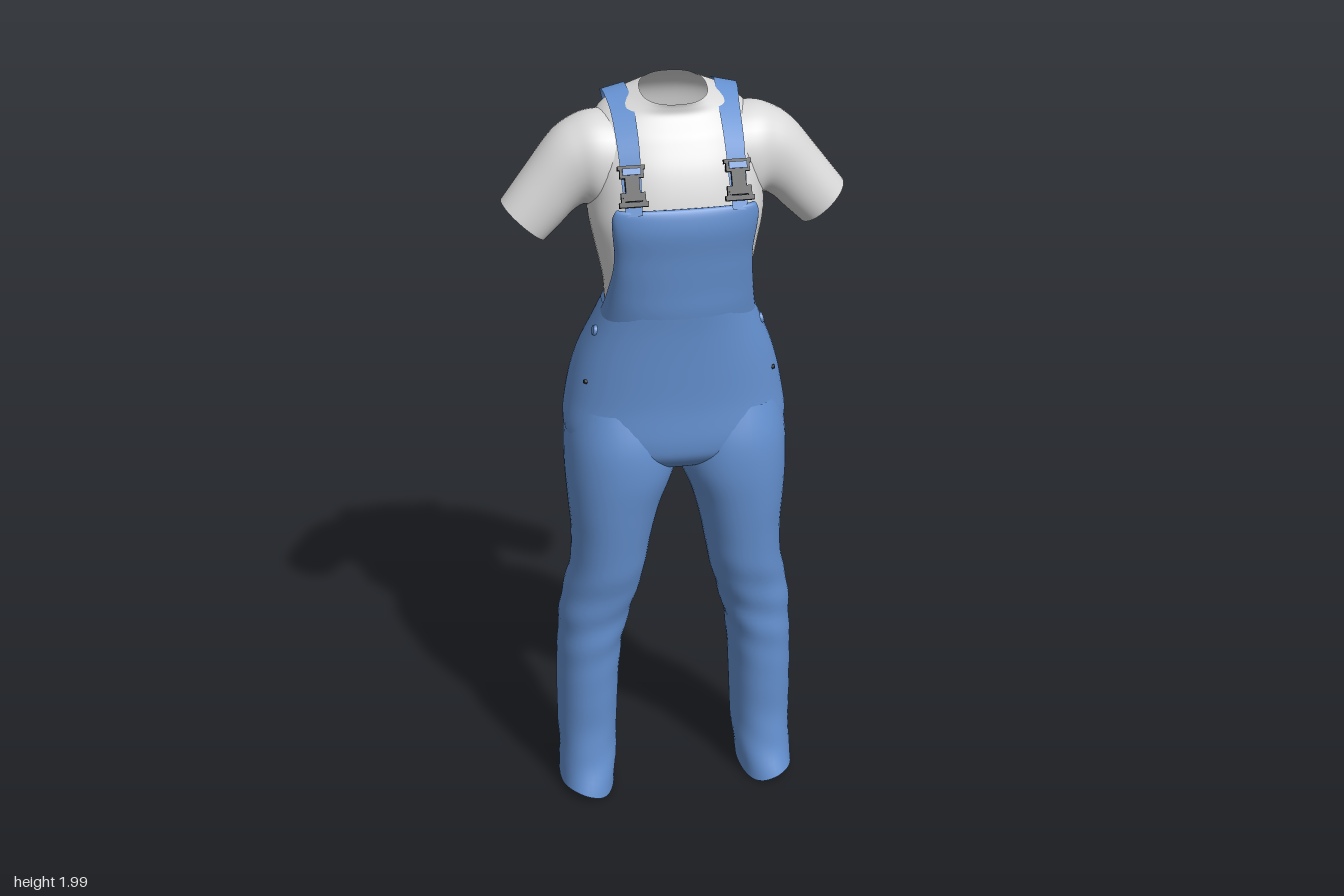
import * as THREE from 'three';

const denim = new THREE.MeshStandardMaterial({ color: 0x6490cf, side: THREE.DoubleSide });
denim.name = 'blue denim';
const cotton = new THREE.MeshStandardMaterial({ color: 0xd9d9d9, side: THREE.DoubleSide });
cotton.name = 'light grey cotton';
const plastic = new THREE.MeshStandardMaterial({ color: 0x222326 });
plastic.name = 'black plastic';

// Smooth value through a table of cross-sections, t in 0..1
function sample(rows, t) {
  const s = t * (rows.length - 1);
  const i = Math.min(Math.floor(s), rows.length - 2), f = s - i;
  const at = (k) => rows[Math.max(0, Math.min(rows.length - 1, k))];
  const [a, b, c, d] = [at(i - 1), at(i), at(i + 1), at(i + 2)];
  return b.map((_, k) => b[k] + 0.5 * f * (c[k] - a[k]
    + f * (2 * a[k] - 5 * b[k] + 4 * c[k] - d[k] + f * (3 * (b[k] - c[k]) + d[k] - a[k]))));
}

// Cross-section at a height; the first column of the table is y
function rowAt(rows, y) {
  let i = 0;
  while (i < rows.length - 2 && (rows[i + 1][0] - y) * (rows[i][0] - y) > 0) i++;
  const f = (y - rows[i][0]) / (rows[i + 1][0] - rows[i][0]);
  return rows[i].map((v, k) => v + f * (rows[i + 1][k] - v));
}

// Smooth sheet or tube from a point rule
function surface(name, material, nu, nv, closed, rule) {
  const pos = [], idx = [], cols = closed ? nu : nu + 1;
  for (let j = 0; j <= nv; j++)
    for (let i = 0; i < cols; i++) pos.push(...rule(i / nu, j / nv));
  for (let j = 0; j < nv; j++)
    for (let i = 0; i < nu; i++) {
      const a = j * cols + i, b = j * cols + (i + 1) % cols;
      idx.push(a, b, a + cols, b, b + cols, a + cols);
    }
  const g = new THREE.BufferGeometry();
  g.setAttribute('position', new THREE.Float32BufferAttribute(pos, 3));
  g.setIndex(idx);
  g.computeVertexNormals();
  const mesh = new THREE.Mesh(g, material);
  mesh.name = name;
  return mesh;
}

const spow = (v, p) => Math.sign(v) * Math.pow(Math.abs(v), p);
// Rounded oval: returns unit [side, front] for u in 0..1
const oval = (u, n) => [spow(Math.sin(u * 2 * Math.PI), 2 / n), spow(Math.cos(u * 2 * Math.PI), 2 / n)];

// y, half width, front z, back z
const SHIRT = [
  [1.38, 0.17, 0.13, -0.08], [1.45, 0.178, 0.14, -0.1], [1.52, 0.184, 0.152, -0.113],
  [1.6, 0.2, 0.163, -0.14], [1.68, 0.215, 0.167, -0.152], [1.75, 0.215, 0.155, -0.158],
  [1.82, 0.213, 0.13, -0.16], [1.88, 0.205, 0.095, -0.155], [1.92, 0.185, 0.07, -0.145],
  [1.95, 0.145, 0.052, -0.12], [1.97, 0.105, 0.05, -0.1], [1.982, 0.082, 0.052, -0.09],
];
const HIPS = [
  [1.455, 0.187, 0.17, -0.112], [1.4, 0.21, 0.165, -0.132], [1.3, 0.25, 0.16, -0.175],
  [1.2, 0.275, 0.157, -0.192], [1.1, 0.284, 0.161, -0.18], [1.05, 0.24, 0.148, -0.15],
  [1.01, 0.11, 0.1, -0.09], [0.995, 0.01, 0.02, -0.02],
];
// y, inner x, outer x, front z, back z
const LEG = [
  [1.18, 0.02, 0.268, 0.135, -0.172], [1.09, 0.0, 0.284, 0.162, -0.18], [1.0, 0.004, 0.287, 0.168, -0.161],
  [0.9, 0.042, 0.282, 0.16, -0.14], [0.8, 0.068, 0.275, 0.148, -0.12], [0.7, 0.086, 0.28, 0.135, -0.105],
  [0.6, 0.11, 0.302, 0.114, -0.115], [0.5, 0.137, 0.312, 0.106, -0.13], [0.4, 0.15, 0.317, 0.1, -0.135],
  [0.3, 0.156, 0.319, 0.095, -0.133], [0.2, 0.16, 0.32, 0.09, -0.13], [0.11, 0.165, 0.318, 0.103, -0.12],
  [0.025, 0.175, 0.322, 0.13, -0.105],
];
// top x, top y, bottom x, bottom y, front z, back z
const SLEEVE = [
  [0.09, 1.92, 0.12, 1.68, 0.085, -0.14], [0.19, 1.932, 0.18, 1.67, 0.085, -0.14],
  [0.25, 1.915, 0.215, 1.7, 0.07, -0.126], [0.3, 1.88, 0.245, 1.69, 0.062, -0.112],
  [0.36, 1.805, 0.28, 1.657, 0.058, -0.097], [0.425, 1.72, 0.32, 1.62, 0.056, -0.082],
];
// y, half width, edge z, middle z
const BIB = [
  [1.41, 0.2, 0.02, 0.163], [1.47, 0.187, 0.06, 0.172], [1.52, 0.179, 0.088, 0.175], [1.57, 0.172, 0.112, 0.179],
  [1.62, 0.17, 0.127, 0.183], [1.68, 0.176, 0.142, 0.19], [1.72, 0.178, 0.15, 0.186],
  [1.742, 0.17, 0.155, 0.177], [1.742, 0.162, 0.145, 0.166],
];
// y, half width
const BACK = [[1.41, 0.185], [1.455, 0.145], [1.485, 0.1], [1.54, 0.072], [1.62, 0.056], [1.69, 0.046]];

function shirtBack(x, y) {
  const [, w, f, b] = rowAt(SHIRT, y);
  return (f + b) / 2 - (f - b) / 2 * Math.pow(1 - Math.pow(Math.min(Math.abs(x) / w, 1), 2.4), 1 / 2.4);
}

function strap() {
  const path = new THREE.CatmullRomCurve3([
    [0.128, 1.735, 0.176], [0.128, 1.8, 0.14], [0.128, 1.88, 0.093], [0.13, 1.95, 0.005], [0.137, 1.973, -0.07],
    [0.134, 1.95, -0.128], [0.112, 1.88, -0.16], [0.07, 1.78, -0.17], [0.026, 1.66, -0.168],
  ].map((p) => new THREE.Vector3(...p)));
  return surface('strap', denim, 4, 48, false, (u, v) => {
    const p = path.getPoint(v);
    const out = p.clone().sub(new THREE.Vector3(p.x * 0.6, 1.74, -0.03));
    const across = path.getTangent(v).cross(out).normalize();
    const half = 0.02 + 0.009 * Math.sin(Math.PI * v);
    return p.addScaledVector(across, (u * 2 - 1) * half).toArray();
  });
}

function buckle() {
  const g = new THREE.Group();
  g.name = 'buckle';
  const bar = (w, h, d, x, y, z = 0, m = plastic) => {
    const b = new THREE.Mesh(new THREE.BoxGeometry(w, h, d), m);
    b.name = 'bucklePart';
    b.position.set(x, y, z);
    g.add(b);
  };
  bar(0.066, 0.01, 0.014, 0, 0.042);
  bar(0.058, 0.01, 0.014, 0, 0.022);
  bar(0.034, 0.05, 0.014, 0, 0);
  bar(0.05, 0.02, 0.014, 0, -0.028);
  bar(0.07, 0.012, 0.014, 0, -0.046);
  for (const s of [-1, 1]) {
    bar(0.009, 0.03, 0.012, s * 0.024, 0.032);
    bar(0.009, 0.03, 0.012, s * 0.025, -0.032);
  }
  bar(0.044, 0.016, 0.006, 0, 0.032, 0.008, denim);
  g.position.set(0.128, 1.803, 0.148);
  g.rotation.x = -0.5;
  return g;
}

// Round stud lying on the hip
function stud(name, material, y, z, r) {
  const [, w, f, b] = rowAt(HIPS, y);
  const k = (z - (f + b) / 2) / ((f - b) / 2);
  const x = w * Math.pow(1 - Math.pow(Math.abs(k), 2.4), 1 / 2.4);
  const m = new THREE.Mesh(new THREE.CylinderGeometry(r * 0.85, r, 0.008, 16), material);
  m.name = name;
  m.position.set(x + 0.002, y, z);
  m.quaternion.setFromUnitVectors(new THREE.Vector3(0, 1, 0), new THREE.Vector3(1, 0.3, 0.35 * k).normalize());
  return m;
}

function createSide() {
  const side = new THREE.Group();
  side.add(surface('sleeve', cotton, 36, 30, true, (u, v) => {
    const [tx, ty, bx, by, f, b] = sample(SLEEVE, v);
    const [s, c] = oval(u, 2.1);
    return [(tx + bx) / 2 + c * (tx - bx) / 2, (ty + by) / 2 + c * (ty - by) / 2, (f + b) / 2 + s * (f - b) / 2];
  }));
  // Trouser leg with soft folds at the knee and a wavy hem
  side.add(surface('trouserLeg', denim, 44, 72, true, (u, v) => {
    const [y, xi, xo, f, b] = sample(LEG, v);
    const [s, c] = oval(u, 2.2);
    const a = u * 2 * Math.PI;
    const knee = Math.exp(-(((y - 0.55) / 0.13) ** 2)), hem = Math.exp(-(((y - 0.08) / 0.1) ** 2));
    const k = 1 + 0.025 * knee * Math.sin(y * 55 + a * 2) + 0.02 * hem * Math.sin(y * 45 + a * 3);
    const wave = Math.max(0, 1 - y / 0.12) * (0.012 * s + 0.008 * Math.sin(3 * a));
    return [(xi + xo) / 2 + s * k * (xo - xi) / 2, y + wave, (f + b) / 2 + c * k * (f - b) / 2];
  }));
  side.add(strap(), buckle());
  side.add(stud('hipButton', denim, 1.39, 0.055, 0.014), stud('pocketRivet', plastic, 1.26, 0.075, 0.006));
  return side;
}

export function createModel() {
  const model = new THREE.Group();
  model.name = 'dungareesAndShirt';

  // Shirt body; the neckline drops towards the front
  model.add(surface('shirtBody', cotton, 56, 60, true, (u, v) => {
    const [y, w, f, b] = sample(SHIRT, v);
    const [s, c] = oval(u, 2.4);
    const z = (f + b) / 2 + c * (f - b) / 2;
    const tilt = THREE.MathUtils.smoothstep(y, 1.88, 1.98) * 0.27;
    return [s * w, y - tilt * (z + 0.022), z];
  }));

  // Hips and waist, with a shallow groove down the seat
  model.add(surface('hips', denim, 64, 48, true, (u, v) => {
    const [y, w, f, b] = sample(HIPS, v);
    const [s, c] = oval(u, 2.4);
    const x = s * w;
    const groove = c < 0 ? 0.1 * Math.exp(-((x / 0.045) ** 2)) * Math.exp(-(((y - 1.12) / 0.12) ** 2)) : 0;
    return [x, y, (f + b) / 2 + c * (1 - groove) * (f - b) / 2];
  }));

  model.add(surface('bib', denim, 36, 36, false, (u, v) => {
    const [y, w, ze, zm] = sample(BIB, v);
    const a = (u - 0.5) * Math.PI;
    return [w * Math.sin(a), y, ze + (zm - ze) * Math.pow(Math.max(0, Math.cos(a)), 0.8)];
  }));

  model.add(surface('backPanel', denim, 24, 30, false, (u, v) => {
    const [y, w] = sample(BACK, v);
    const x = (u * 2 - 1) * w;
    return [x, y, shirtBack(x, y) - 0.01];
  }));

  const left = createSide(), right = createSide();
  left.name = 'leftSide';
  right.name = 'rightSide';
  right.scale.x = -1;
  model.add(left, right);
  return model;
}
